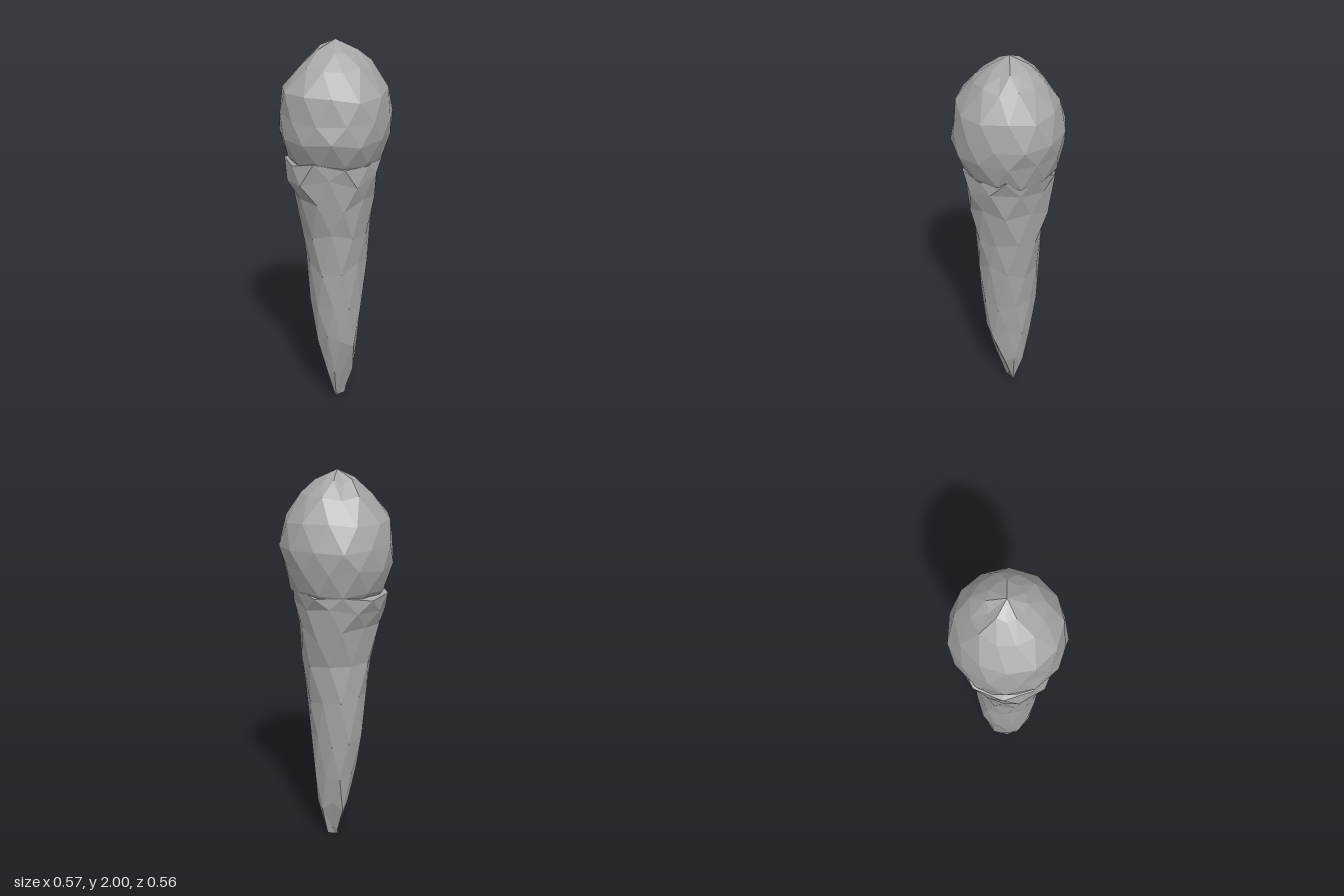
import * as THREE from 'three';

const grey = new THREE.MeshStandardMaterial({ color: 0xa6a6a6, flatShading: true });
grey.name = 'plain grey';

// Seeded random numbers for the hand-carved unevenness
function makeRandom(seed) {
  return () => {
    seed = (seed * 16807) % 2147483647;
    return seed / 2147483647;
  };
}

// Faceted loft through staggered rings, listed from top to bottom.
// Each ring is [y, reach to +x, to -x, to +z, to -z].
function facetedLoft(rings, sides, dent, lift, seed) {
  const random = makeRandom(seed);
  const loops = rings.map(([y, px, nx, pz, nz], i) => {
    const inner = i > 0 && i < rings.length - 1;
    return Array.from({ length: sides }, (_, j) => {
      const a = ((j + (i % 2) / 2) / sides) * Math.PI * 2;
      const c = Math.cos(a), s = Math.sin(a);
      const k = inner ? 1.015 - dent * random() : 1;
      const dy = inner ? (random() - 0.5) * lift : 0;
      return new THREE.Vector3(c * (c > 0 ? px : nx) * k, y + dy, s * (s > 0 ? pz : nz) * k);
    });
  });
  const points = [];
  const face = (a, b, c) => {
    if (new THREE.Triangle(a, b, c).getArea() > 1e-7) points.push(a, b, c);
  };
  for (let i = 0; i < loops.length - 1; i++) {
    const a = loops[i], b = loops[i + 1];
    for (let j = 0; j < sides; j++) {
      const n = (j + 1) % sides;
      if (i % 2 === 0) {
        face(a[j], a[n], b[j]);
        face(b[n], b[j], a[n]);
      } else {
        face(a[j], a[n], b[n]);
        face(b[n], b[j], a[j]);
      }
    }
  }
  const geometry = new THREE.BufferGeometry().setFromPoints(points);
  geometry.computeVertexNormals();
  return geometry;
}

export function createModel() {
  const group = new THREE.Group();
  group.name = 'iceCreamCone';

  // Rounded scoop, tucked into the cone at its base
  const scoop = new THREE.Mesh(facetedLoft([
    [2.0, 0, 0, 0, 0],
    [1.95, 0.11, 0.09, 0.09, 0.09],
    [1.88, 0.18, 0.18, 0.175, 0.17],
    [1.76, 0.265, 0.27, 0.265, 0.245],
    [1.64, 0.288, 0.28, 0.277, 0.285],
    [1.54, 0.275, 0.288, 0.287, 0.275],
    [1.42, 0.235, 0.245, 0.235, 0.245],
    [1.32, 0.17, 0.17, 0.17, 0.17],
    [1.3, 0, 0, 0, 0],
  ], 12, 0.04, 0.03, 11), grey);
  scoop.name = 'scoop';

  // Tapering, dented cone with its tip slightly to one side
  const cone = new THREE.Mesh(facetedLoft([
    [1.47, 0, 0, 0, 0],
    [1.42, 0.24, 0.26, 0.245, 0.25],
    [1.32, 0.22, 0.255, 0.238, 0.235],
    [1.2, 0.198, 0.22, 0.222, 0.21],
    [1.03, 0.185, 0.18, 0.19, 0.165],
    [0.83, 0.163, 0.165, 0.165, 0.165],
    [0.6, 0.145, 0.145, 0.156, 0.152],
    [0.4, 0.127, 0.112, 0.138, 0.124],
    [0.2, 0.105, 0.066, 0.078, 0.09],
    [0.03, 0.058, 0.004, 0.016, 0.024],
    [0, 0.004, 0.004, 0.004, 0.004],
  ], 10, 0.1, 0.07, 29), grey);
  cone.name = 'cone';

  group.add(scoop, cone);
  return group;
}
